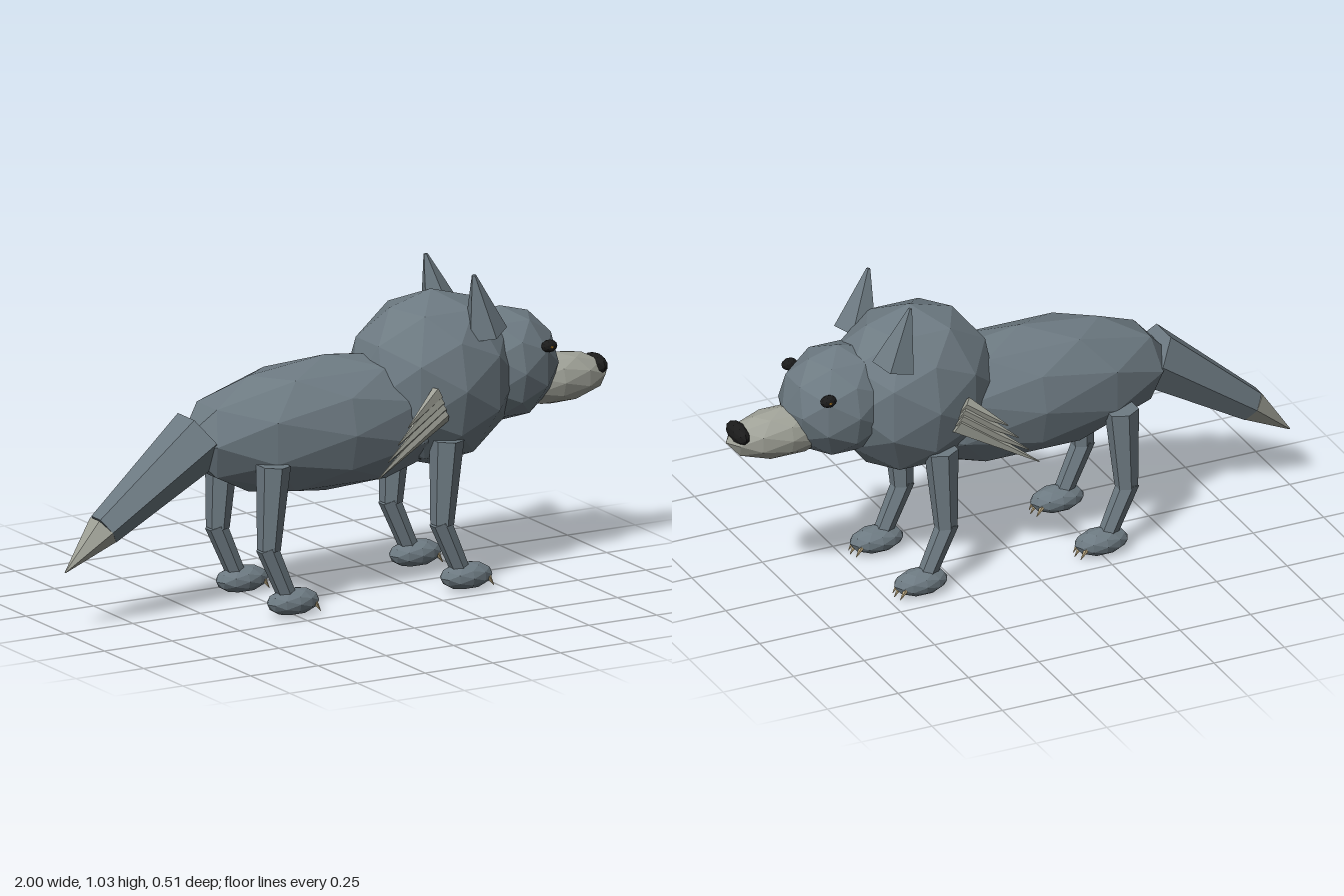
import * as THREE from 'three';

const paint = (name, color) => {
  const m = new THREE.MeshStandardMaterial({ color, flatShading: true });
  m.name = name;
  return m;
};

export function createModel() {
  const model = new THREE.Group();
  model.name = 'wolf';
  const fur = paint('slate fur', 0x6d7a82);
  const pale = paint('pale fur', 0xa0a298);
  const black = paint('black', 0x1b1b1b);
  const amber = paint('amber', 0xb5822e);
  const horn = paint('claw tan', 0xc4b087);

  const add = (name, geometry, material, parent = model) => {
    const mesh = new THREE.Mesh(geometry, material);
    mesh.name = name;
    parent.add(mesh);
    return mesh;
  };

  // Faceted ellipsoid
  const blob = (name, pos, size, material, detail = 1, parent = model) => {
    const g = new THREE.IcosahedronGeometry(1, detail);
    g.scale(...size);
    add(name, g, material, parent).position.set(...pos);
  };

  // Tapered prism from point a (radius ra) to point b (radius rb)
  const limb = (name, a, b, ra, rb, sides, material, flat = 1, parent = model) => {
    const from = new THREE.Vector3(...a), to = new THREE.Vector3(...b);
    const dir = to.clone().sub(from);
    const g = new THREE.CylinderGeometry(rb, ra, dir.length(), sides);
    g.scale(1, 1, flat);
    const mesh = add(name, g, material, parent);
    mesh.position.copy(from).add(to).multiplyScalar(0.5);
    mesh.quaternion.setFromUnitVectors(new THREE.Vector3(0, 1, 0), dir.normalize());
  };

  // Trunk, mane and head
  blob('body', [-0.04, 0.575, 0], [0.54, 0.225, 0.205], fur);
  blob('mane', [0.35, 0.675, 0], [0.29, 0.29, 0.235], fur);
  blob('head', [0.605, 0.685, 0], [0.195, 0.19, 0.172], fur);
  blob('snout', [0.8, 0.61, 0], [0.2, 0.085, 0.087], pale);
  blob('nose', [0.957, 0.637, 0], [0.03, 0.034, 0.065], black);

  // Tail with a pale tip
  limb('tail', [-0.5, 0.588, 0], [-0.857, 0.33, 0], 0.105, 0.058, 6, fur);
  limb('tailTip', [-0.857, 0.33, 0], [-1, 0.205, 0], 0.058, 0.002, 6, pale);

  for (const s of [1, -1]) {
    const side = s > 0 ? 'near' : 'far';

    // Ears with a sliver of pale lining
    limb(side + 'Ear', [0.47, 0.835, s * 0.14], [0.42, 1.035, s * 0.154], 0.073, 0.007, 5, fur);
    limb(side + 'EarLining', [0.475, 0.88, s * 0.143], [0.438, 0.99, s * 0.15], 0.03, 0.004, 4, pale);

    // Eyes
    blob(side + 'Eye', [0.705, 0.76, s * 0.143], [0.028, 0.021, 0.02], black);
    blob(side + 'Iris', [0.705, 0.76, s * 0.159], [0.008, 0.006, 0.006], amber, 0);

    // Shoulder tufts, a fan of flattened spikes
    for (let i = 0; i < 4; i++) {
      const t = i / 3;
      limb(side + 'Tuft' + i,
        [0.28 - 0.025 * t, 0.61 + 0.065 * t, s * 0.207],
        [0.01 + 0.11 * t, 0.437 + 0.155 * t, s * 0.253],
        0.035, 0.002, 5, pale, 0.6);
    }

    // Legs with paws and claws
    for (const [pair, x] of [['front', 0.315], ['hind', -0.325]]) {
      const leg = new THREE.Group();
      leg.name = pair + 'Leg_' + side;
      leg.position.set(x, 0, s * 0.163);
      model.add(leg);
      limb('upperLeg', [0, 0.508, 0], [-0.017, 0.23, 0], 0.056, 0.038, 6, fur, 1, leg);
      limb('lowerLeg', [-0.025, 0.24, 0], [0.05, 0.07, 0], 0.036, 0.031, 6, fur, 1, leg);
      blob('paw', [0.072, 0.049, 0], [0.094, 0.045, 0.054], fur, 1, leg);
      for (const z of [-0.028, 0, 0.028]) {
        const reach = z === 0 ? 0 : -0.008;
        limb('claw', [0.145 + reach, 0.045, z], [0.166 + reach, 0.012, z], 0.009, 0.001, 5, horn, 1, leg);
      }
    }
  }
  return model;
}
